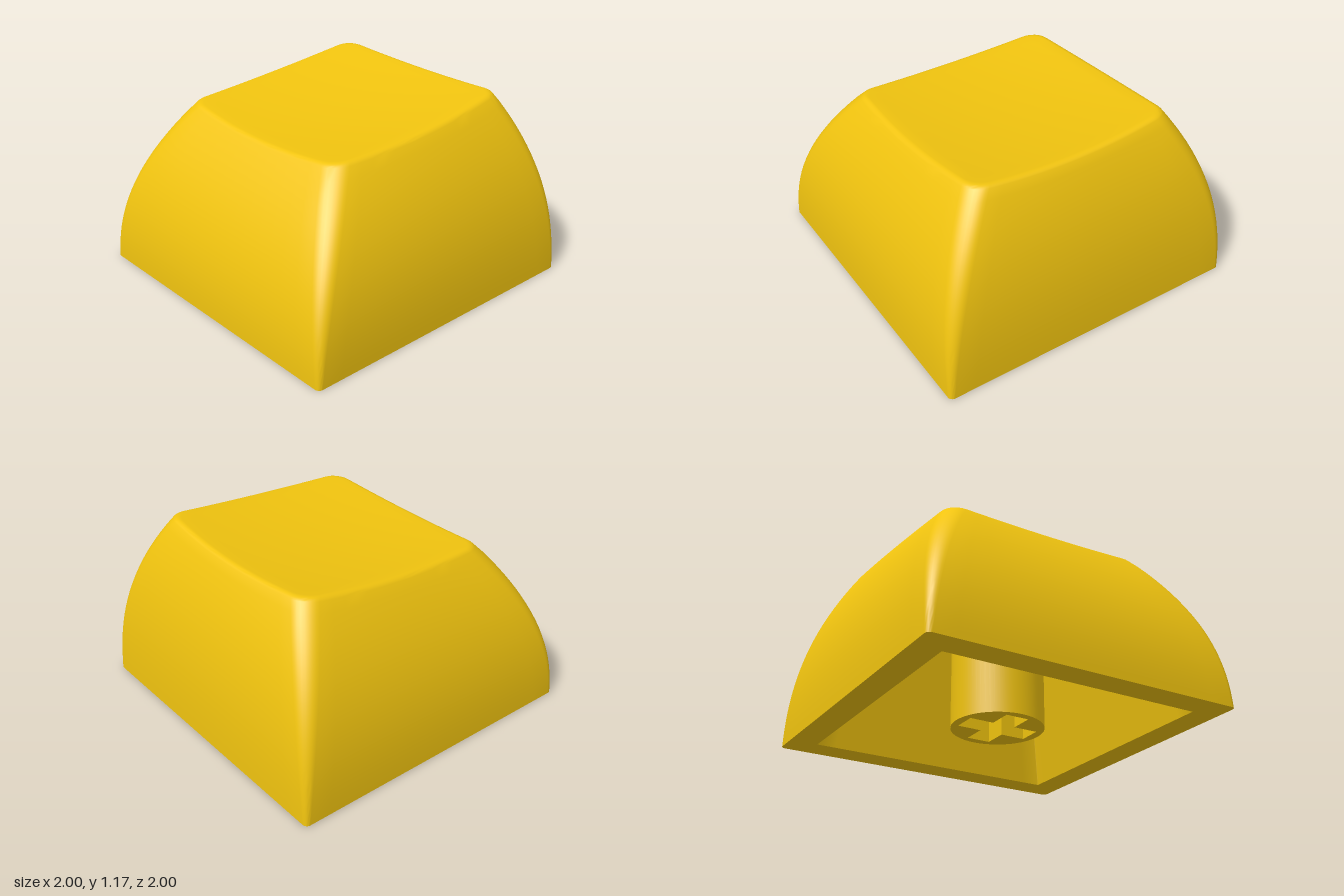
import * as THREE from 'three';
import { toCreasedNormals } from 'three/addons/utils/BufferGeometryUtils.js';

const EDGE = 14, ARC = 8;

// Rounded square in unit coordinates, running from +x towards +z
function unitSquare(rho) {
  const corners = [[1, 1], [-1, 1], [-1, -1], [1, -1]];
  const pts = [];
  corners.forEach(([cx, cz], k) => {
    for (let i = 0; i <= ARC; i++) {
      const a = (k + i / ARC) * Math.PI / 2;
      pts.push([cx * (1 - rho) + rho * Math.cos(a), cz * (1 - rho) + rho * Math.sin(a)]);
    }
    const [ex, ez] = pts[pts.length - 1];
    const [nx, nz] = corners[(k + 1) % 4];
    const a = (k + 1) * Math.PI / 2;
    const tx = nx * (1 - rho) + rho * Math.cos(a), tz = nz * (1 - rho) + rho * Math.sin(a);
    for (let i = 1; i < EDGE; i++) {
      const f = i / EDGE;
      pts.push([ex + (tx - ex) * f, ez + (tz - ez) * f]);
    }
  });
  return pts;
}

// One cross-section: half width, front and back reach, corner radius, bowed sides, height rule
function ring({ hx, zf, zb, rho, bow = 0, s = 1, y }) {
  const cz = (zf - zb) / 2, hz = (zf + zb) / 2;
  return unitSquare(rho).map(([u, v]) => {
    const x = s * u * hx * (1 - bow * v * v);
    const z = cz + s * v * hz * (1 - bow * u * u);
    return [x, y(x, z), z];
  });
}

function loft(rings) {
  const n = rings[0].length, index = [];
  for (let i = 0; i < rings.length - 1; i++) {
    for (let j = 0; j < n; j++) {
      const k = (j + 1) % n;
      const a = i * n + j, b = i * n + k, c = a + n, d = b + n;
      if (i > 0) index.push(a, c, b);
      if (i < rings.length - 2) index.push(b, c, d);
      else index.push(b, c, d);
    }
  }
  const g = new THREE.BufferGeometry();
  g.setAttribute('position', new THREE.Float32BufferAttribute(rings.flat(2), 3));
  g.setIndex(index);
  return g;
}

// Dished, rising top surface
function topY(x, z) {
  const u = Math.min(1, Math.abs(x) / 0.65);
  const d = Math.max(0, 0.57 - z);
  return 1.075 + 0.063 * d * d - 0.038 * (1 - u * u);
}

export function createModel() {
  const group = new THREE.Group();
  const material = new THREE.MeshStandardMaterial({ color: 0xf1c40f });
  const ceiling = 0.88;
  const rings = [];

  // Hollow inside: ceiling, tapered walls, then the flat bottom rim
  const inner = { hx: 0.68, zf: 0.6, zb: 0.7, rho: 0.004, y: () => ceiling };
  rings.push(ring({ ...inner, s: 0 }), ring(inner));
  rings.push(ring({ hx: 0.825, zf: 0.825, zb: 0.825, rho: 0.004, y: () => 0 }));

  // Outer walls curving inwards to the top edge
  const fillet = 0.05, start = 0.62;
  const drop = fillet * (1 - Math.sin(start));
  const WALL = 20;
  for (let i = 0; i <= WALL; i++) {
    const t = i / WALL;
    rings.push(ring({
      hx: 1 - 0.295 * t ** 2.4, zf: 1 - 0.375 * t ** 2.2, zb: 1 - 0.225 * t ** 2.4,
      rho: 0.03 + 0.12 * t, bow: 0.05 * t * t,
      y: (x, z) => t * (topY(x, z) - drop),
    }));
  }

  // Rounded top edge
  let top;
  for (let i = 1; i <= 5; i++) {
    const a = start + (Math.PI / 2 - start) * i / 5;
    const inset = fillet * (Math.cos(start) - Math.cos(a));
    top = { hx: 0.705 - inset, zf: 0.625 - inset, zb: 0.775 - inset, rho: 0.15, bow: 0.05 };
    rings.push(ring({ ...top, y: (x, z) => topY(x, z) - fillet * (1 - Math.sin(a)) }));
  }

  // Dished top
  for (let i = 9; i >= 0; i--) rings.push(ring({ ...top, s: i / 10, y: topY }));

  const shell = new THREE.Mesh(toCreasedNormals(loft(rings), 0.6), material);
  shell.name = 'capShell';
  group.add(shell);

  // Stem with a cross-shaped socket
  const shape = new THREE.Shape().absarc(0, 0, 0.285, 0, Math.PI * 2, false);
  const L = 0.23, w = 0.075;
  const cross = [[L, w], [w, w], [w, L], [-w, L], [-w, w], [-L, w],
    [-L, -w], [-w, -w], [-w, -L], [w, -L], [w, -w], [L, -w]];
  shape.holes.push(new THREE.Path(cross.map(([x, y]) => new THREE.Vector2(x, y))));
  const stemGeometry = new THREE.ExtrudeGeometry(shape, {
    depth: ceiling, bevelEnabled: false, curveSegments: 32,
  }).rotateX(-Math.PI / 2);
  const stem = new THREE.Mesh(toCreasedNormals(stemGeometry, 0.6), material);
  stem.name = 'stem';
  group.add(stem);

  return group;
}
